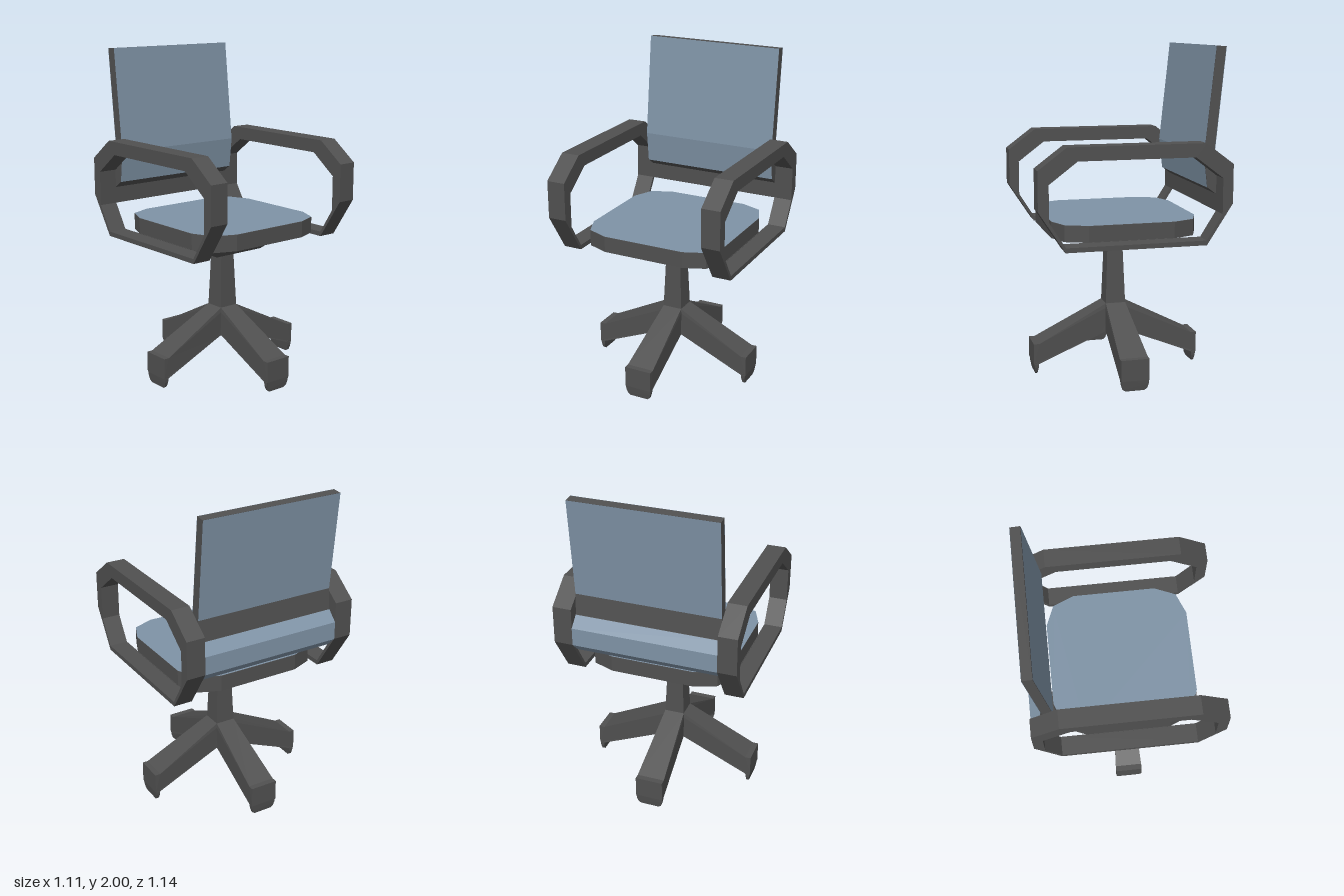
import * as THREE from 'three';

const grey = new THREE.MeshStandardMaterial({ color: 0x505050, flatShading: true });
const blue = new THREE.MeshStandardMaterial({ color: 0x7f93a6, flatShading: true, side: THREE.DoubleSide });

const toShape = (pts) => new THREE.Shape(pts.map(([a, b]) => new THREE.Vector2(a, b)));

function add(parent, name, geometry, material = grey) {
  const mesh = new THREE.Mesh(geometry, material);
  mesh.name = name;
  parent.add(mesh);
  return mesh;
}

function slab(shape, depth) {
  return new THREE.ExtrudeGeometry(shape, { depth, bevelEnabled: false }).translate(0, 0, -depth / 2);
}

// Extrudes a (z, y) side profile across x, centred on x = 0
const sideProfile = (shape, width) => slab(shape, width).rotateY(-Math.PI / 2);

// Upholstery following a (z, y) line across the backrest
function fabricStrip(line, halfWidth, dz) {
  const pos = [], index = [];
  line.forEach(([z, y], i) => {
    pos.push(-halfWidth, y, z + dz, halfWidth, y, z + dz);
    const a = i * 2;
    if (i) index.push(a - 2, a, a - 1, a - 1, a, a + 1);
  });
  const g = new THREE.BufferGeometry();
  g.setAttribute('position', new THREE.Float32BufferAttribute(pos, 3));
  g.setIndex(index);
  g.computeVertexNormals();
  return g;
}

// Four-sided tapered block with half widths at top and bottom
function taper(topHalf, bottomHalf, y0, y1) {
  return new THREE.CylinderGeometry(topHalf * Math.SQRT2, bottomHalf * Math.SQRT2, y1 - y0, 4)
    .rotateY(Math.PI / 4).translate(0, (y0 + y1) / 2, 0);
}

// Closed outline mirrored about the vertical axis
const mirrored = (half) => [...half, ...half.map(([a, b]) => [-a, b]).reverse()];

export function createModel() {
  const chair = new THREE.Group();
  chair.name = 'officeChair';

  // Seat cushion with clipped corners and a fabric top
  const quarter = [[0.257, 0.44], [0.387, 0.388], [0.442, 0.257]];
  const seatShape = toShape(mirrored([...quarter, ...quarter.map(([x, z]) => [x, -z]).reverse()]));
  add(chair, 'seat', slab(seatShape, 0.097).rotateX(-Math.PI / 2).translate(0, 0.9365, 0));
  add(chair, 'seatFabric', new THREE.ShapeGeometry(seatShape).rotateX(-Math.PI / 2).translate(0, 0.987, 0), blue);

  // Pan below the seat and the column
  add(chair, 'seatPan', taper(0.298, 0.175, 0.778, 0.89).scale(1, 1, 0.92));
  add(chair, 'panHub', taper(0.175, 0.045, 0.762, 0.778).scale(1, 1, 0.92));
  add(chair, 'column', taper(0.048, 0.062, 0.41, 0.775));

  // Backrest and its crossbar share one profile
  const front = [[-0.5, 2], [-0.433, 1.37], [-0.455, 1.18]];
  const upperBack = [[-0.497, 1.4], [-0.557, 1.995]];
  const barBack = [[-0.51, 1.04], [-0.571, 1.1], [-0.571, 1.21], [-0.51, 1.27]];
  const backShape = toShape([...front, [-0.51, 1.14], ...barBack, ...upperBack]);
  add(chair, 'backrest', sideProfile(backShape, 0.88));
  add(chair, 'backrestFrontFabric', fabricStrip(front, 0.44, 0.002), blue);
  add(chair, 'backrestRearFabric', fabricStrip(upperBack, 0.44, -0.002), blue);
  add(chair, 'crossbarFabric', fabricStrip(barBack, 0.44, -0.002), blue);

  // Armrest loops and the plates joining them to the seat
  const armShape = toShape(mirrored([[0.405, 1.455], [0.572, 1.33], [0.572, 1.1], [0.417, 0.861]]));
  const opening = mirrored([[0.345, 1.375], [0.51, 1.25], [0.51, 1.04], [0.415, 0.889]]);
  armShape.holes.push(toShape(opening.reverse()));
  for (const [side, s] of [['left', 1], ['right', -1]]) {
    add(chair, side + 'Armrest', sideProfile(armShape, 0.115).translate(s * 0.4975, 0, 0));
    add(chair, side + 'ArmPlate', new THREE.BoxGeometry(0.15, 0.03, 0.5).translate(s * 0.37, 0.876, 0));
  }

  // Leg: side profile extruded, then widened towards the tip
  const legShape = toShape([
    [0, 0.415], [0, 0.26], [0.095, 0.222], [0.497, 0.062], [0.522, 0.065], [0.522, 0.193], [0.487, 0.193], [0.06, 0.415],
  ]);
  const legGeo = slab(legShape, 2);
  const p = legGeo.attributes.position;
  for (let i = 0; i < p.count; i++) {
    const t = THREE.MathUtils.clamp((p.getX(i) - 0.06) / 0.427, 0, 1);
    p.setZ(i, p.getZ(i) * (0.062 + 0.024 * t));
  }
  legGeo.computeVertexNormals();

  // Foot: thin rounded blade, narrowing downwards
  const footHalf = [[0.086, 0.075], [0.083, 0.04], [0.075, 0.013], [0.058, 0]];
  const footGeo = slab(toShape(mirrored(footHalf)), 0.03).rotateY(Math.PI / 2);
  const f = footGeo.attributes.position;
  for (let i = 0; i < f.count; i++) {
    f.setX(i, 0.505 + f.getX(i) * (0.35 + 0.65 * Math.min(1, f.getY(i) / 0.06)));
  }
  footGeo.computeVertexNormals();

  // Four legs around the column
  for (let i = 0; i < 4; i++) {
    const leg = new THREE.Group();
    leg.name = 'baseLeg' + (i + 1);
    add(leg, 'leg', legGeo);
    add(leg, 'foot', footGeo);
    leg.rotation.y = i * Math.PI / 2;
    chair.add(leg);
  }
  return chair;
}
